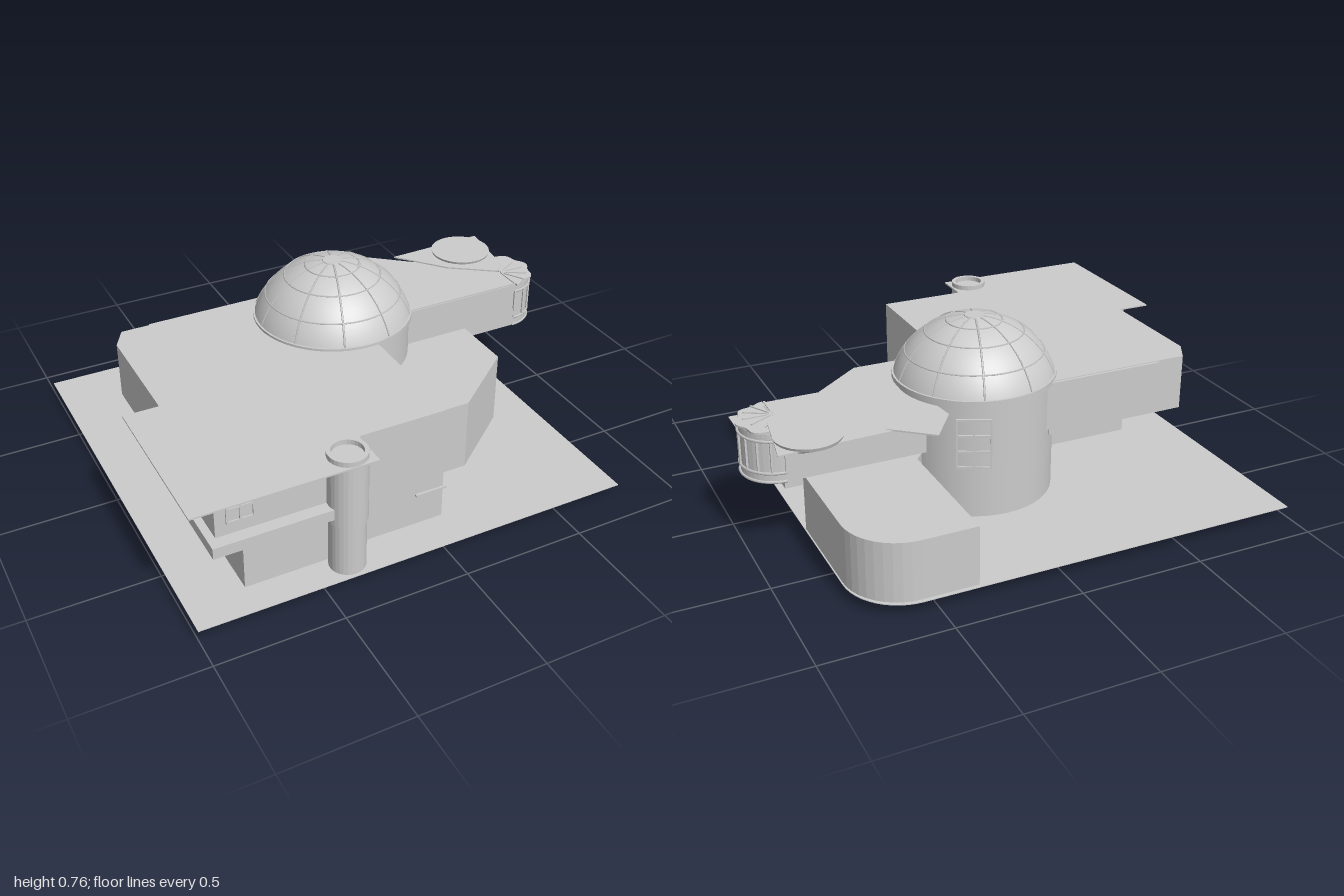
import * as THREE from 'three';

const mat = new THREE.MeshStandardMaterial({ color: 0xcccccc, side: THREE.DoubleSide });

function add(parent, name, geo, x = 0, y = 0, z = 0) {
  const m = new THREE.Mesh(geo, mat);
  m.name = name;
  m.position.set(x, y, z);
  parent.add(m);
  return m;
}

// Upright prism from a plan outline of [x, z] points
function prism(parent, name, pts, y0, y1) {
  const shape = new THREE.Shape(pts.map(([x, z]) => new THREE.Vector2(x, -z)));
  const geo = new THREE.ExtrudeGeometry(shape, { depth: y1 - y0, bevelEnabled: false });
  geo.rotateX(-Math.PI / 2);
  return add(parent, name, geo, 0, y0, 0);
}

function box(parent, name, x0, x1, y0, y1, z0, z1) {
  return add(parent, name, new THREE.BoxGeometry(x1 - x0, y1 - y0, z1 - z0),
    (x0 + x1) / 2, (y0 + y1) / 2, (z0 + z1) / 2);
}

// Plan points along an arc
function arc(cx, cz, r, a0, a1, n) {
  return Array.from({ length: n + 1 }, (_, i) => {
    const a = a0 + (a1 - a0) * i / n;
    return [cx + r * Math.cos(a), cz + r * Math.sin(a)];
  });
}

// Barred window facing +z before it is turned
function barWindow(parent, name, w, h, cols, rows, x, y, z, turn = 0) {
  const g = new THREE.Group();
  g.name = name;
  const t = 0.008;
  for (let i = 0; i <= cols; i++) add(g, 'windowBar', new THREE.BoxGeometry(t, h, t), -w / 2 + w * i / cols);
  for (let j = 0; j <= rows; j++) add(g, 'windowRail', new THREE.BoxGeometry(w + t, t, t), 0, -h / 2 + h * j / rows);
  g.position.set(x, y, z);
  g.rotation.y = turn;
  parent.add(g);
  return g;
}

export function createModel() {
  const model = new THREE.Group();
  model.name = 'domedHouse';
  const CX = 0.02, CZ = -0.13, G = 0.045, PI = Math.PI;

  // Ground plate with one rounded corner
  prism(model, 'ground', [[-1, 0.87], [0.78, 0.87], ...arc(0.56, -0.65, 0.22, 0, -PI / 2, 12), [-1, -0.87]], G - 0.003, G);

  // Open stair well below the ground
  const well = new THREE.Group();
  well.name = 'stairWell';
  model.add(well);
  for (const r of [0.32, 0.17])
    add(well, 'wellWall', new THREE.CylinderGeometry(r, r, G, 32, 1, true, PI, PI), CX, G / 2, CZ);
  for (let i = 0; i < 3; i++)
    box(well, 'step', CX + 0.02 * i, CX + 0.04 + 0.02 * i, 0.002 + 0.013 * (2 - i), 0.01 + 0.013 * (2 - i), -0.445, -0.3);

  // Round central hall
  add(model, 'drum', new THREE.CylinderGeometry(0.315, 0.315, 0.53 - G, 48, 1, true), CX, (0.53 + G) / 2, CZ);
  add(model, 'domeEave', new THREE.CylinderGeometry(0.327, 0.327, 0.02, 48), CX, 0.53, CZ);

  // Dome with ribs and hoops
  const dome = new THREE.Group();
  dome.name = 'dome';
  dome.position.set(CX, 0.423, CZ);
  model.add(dome);
  const R = 0.34, base = 0.318;
  add(dome, 'domeShell', new THREE.SphereGeometry(R, 48, 16, 0, PI * 2, 0, PI / 2 - base));
  for (let i = 0; i < 10; i++) {
    const rib = new THREE.TorusGeometry(R, 0.004, 4, 18, PI / 2 - base - 0.11);
    rib.rotateZ(base);
    rib.rotateY(i * PI / 5);
    add(dome, 'domeRib', rib);
  }
  for (const r of [0.275, 0.195, 0.11]) {
    const hoop = new THREE.TorusGeometry(r, 0.004, 4, 40);
    hoop.rotateX(PI / 2);
    add(dome, 'domeHoop', hoop, 0, Math.sqrt(R * R - r * r), 0);
  }
  add(dome, 'domeCap', new THREE.CylinderGeometry(0.038, 0.042, 0.012, 20), 0, 0.336, 0);

  // Drum windows
  const onDrum = (a, y) => [CX + 0.317 * Math.sin(a), y, CZ + 0.317 * Math.cos(a)];
  const a1 = PI + 0.61 - 1.05, a2 = PI + 0.61 + 0.32;
  barWindow(model, 'drumWindow', 0.13, 0.2, 2, 3, ...onDrum(a1, 0.36), a1);
  const round = add(model, 'roundWindow', new THREE.TorusGeometry(0.035, 0.006, 6, 24), ...onDrum(a2, 0.43));
  round.rotation.y = a2;

  // Main house: lower floor, deck, upper floor, overhanging roof
  prism(model, 'lowerFloor', [[-0.77, 0], [-0.2, 0], [0.06, 0.1], [0.06, 0.71], [-0.3, 0.71], [-0.34, 0.74], [-0.77, 0.74]], G, 0.3);
  box(model, 'deck', -0.91, -0.34, 0.29, 0.335, 0.2, 0.82);
  prism(model, 'upperFloor', [[-0.86, -0.27], [-0.81, -0.36], [-0.2, -0.36], [-0.2, 0.05], [0.06, 0.1], [0.06, 0.71],
    [-0.3, 0.71], [-0.34, 0.77], [-0.88, 0.77], [-0.88, 0.21], [-0.86, 0.21]], 0.3, 0.525);
  prism(model, 'flatRoof', [[-1, 0.21], [-0.86, 0.21], [-0.86, -0.27], [-0.81, -0.36], [-0.2, -0.36], [-0.2, 0.05],
    [0.06, 0.1], [0.06, 0.71], [-0.3, 0.71], [-0.3, 0.865], [-1, 0.865]], 0.524, 0.53);
  box(model, 'rearFascia', -0.69, -0.18, 0.33, 0.527, -0.372, -0.36);
  box(model, 'doorCanopy', -0.06, 0.07, 0.178, 0.186, 0.6, 0.72);
  barWindow(model, 'frontWindow', 0.1, 0.11, 2, 2, -0.785, 0.44, 0.772);
  barWindow(model, 'sideWindowUpper', 0.14, 0.1, 2, 1, -0.882, 0.43, 0.55, -PI / 2);
  barWindow(model, 'sideWindowLower', 0.14, 0.1, 2, 1, -0.772, 0.19, 0.42, -PI / 2);

  // Hollow round tower
  const profile = [[0.07, 0.04], [0.07, 0.26], [0.076, 0.26], [0.076, 0.55], [0.06, 0.55], [0.06, 0.45], [0, 0.45]];
  const towerGeo = new THREE.LatheGeometry(profile.map(p => new THREE.Vector2(...p)), 28).toNonIndexed();
  towerGeo.computeVertexNormals();
  add(model, 'tower', towerGeo, -0.385, 0, 0.787);

  // Angled front room and low rear room with rounded corner
  prism(model, 'angledRoom', [[0.06, 0.485], [0.305, 0.485], [0.597, 0.25], [0.597, -0.01], [0.06, -0.01]], G, 0.35);
  prism(model, 'lowRoom', [[0.25, -0.01], [0.597, -0.01], [0.597, -0.23], [0.775, -0.23],
    ...arc(0.56, -0.64, 0.215, 0, -PI / 2, 10), [0.34, -0.855], [0.34, -0.3], [0.25, -0.2]], G, 0.283);

  // Raised wing ending in a round bay
  const wing = new THREE.Group();
  wing.name = 'raisedWing';
  model.add(wing);
  const bx = 0.852, bz = -0.153, br = 0.132;
  prism(wing, 'wingBody', [[0.28, -0.02], ...arc(bx, bz, br, PI / 2, -PI / 2, 20), [0.28, -0.285]], 0.295, 0.495);
  for (const y of [0.3, 0.335, 0.465]) {
    const rail = new THREE.TorusGeometry(br + 0.003, 0.006, 5, 24, PI);
    rail.rotateX(PI / 2);
    rail.rotateY(PI / 2);
    add(wing, 'bayRail', rail, bx, y, bz);
  }
  for (let i = 0; i <= 8; i++) {
    const a = -PI / 2 + i * PI / 8;
    add(wing, 'bayBar', new THREE.BoxGeometry(0.008, 0.13, 0.008),
      bx + (br + 0.003) * Math.cos(a), 0.4, bz + (br + 0.003) * Math.sin(a));
  }

  // Scalloped bay roof with spokes
  const scallop = Array.from({ length: 33 }, (_, i) => {
    const a = PI / 2 - PI * i / 32, r = 0.137 + 0.008 * Math.cos(i * PI / 4);
    return [bx + r * Math.cos(a), bz + r * Math.sin(a)];
  });
  prism(wing, 'bayRoof', scallop, 0.495, 0.503);
  for (let i = 0; i < 7; i++) {
    const spoke = new THREE.BoxGeometry(0.11, 0.006, 0.007);
    spoke.translate(0.06, 0, 0);
    add(wing, 'roofSpoke', spoke, bx - 0.005, 0.505, bz + 0.02).rotation.y = -PI / 2 + i * PI / 6;
  }

  // Overlapping loose roof sheets, round lid and drooping hood
  prism(wing, 'roofSheet', [[0.3, -0.02], [0.86, -0.02], [0.85, -0.15], [0.36, -0.555], [0.255, -0.41]], 0.498, 0.504);
  prism(wing, 'rearRoofSheet', [[0.5, -0.465], [0.935, -0.48], [0.89, -0.2], [0.84, -0.14], [0.66, -0.27]], 0.504, 0.51);
  add(wing, 'roundLid', new THREE.CylinderGeometry(0.13, 0.125, 0.014, 32), 0.79, 0.514, -0.375);
  const hood = new THREE.SphereGeometry(1, 20, 10);
  hood.scale(0.12, 0.03, 0.08);
  add(wing, 'hood', hood, 0.78, 0.48, -0.35);
  box(wing, 'bracket', 0.79, 0.86, 0.265, 0.295, -0.28, -0.2);

  // Cut-out trees and animal shapes on the front wall
  const flat = (name, pts, z) =>
    add(wing, name, new THREE.ShapeGeometry(new THREE.Shape(pts.map(p => new THREE.Vector2(...p)))), 0, 0, z);
  for (const [x, w, h] of [[0.41, 0.04, 0.14], [0.48, 0.05, 0.17], [0.72, 0.05, 0.12], [0.77, 0.07, 0.17], [0.83, 0.05, 0.12]])
    flat('tree', [[x - w, 0.3], [x + w, 0.3], [x, 0.3 + h]], -0.017);
  for (const x of [0.47, 0.78])
    flat('animal', [[-0.08, 0.33], [-0.06, 0.31], [-0.04, 0.325], [0.03, 0.325], [0.05, 0.31], [0.06, 0.34],
      [0.08, 0.36], [0.05, 0.38], [0.02, 0.37], [-0.04, 0.38]].map(([u, v]) => [x + u, v]), -0.014);

  return model;
}
